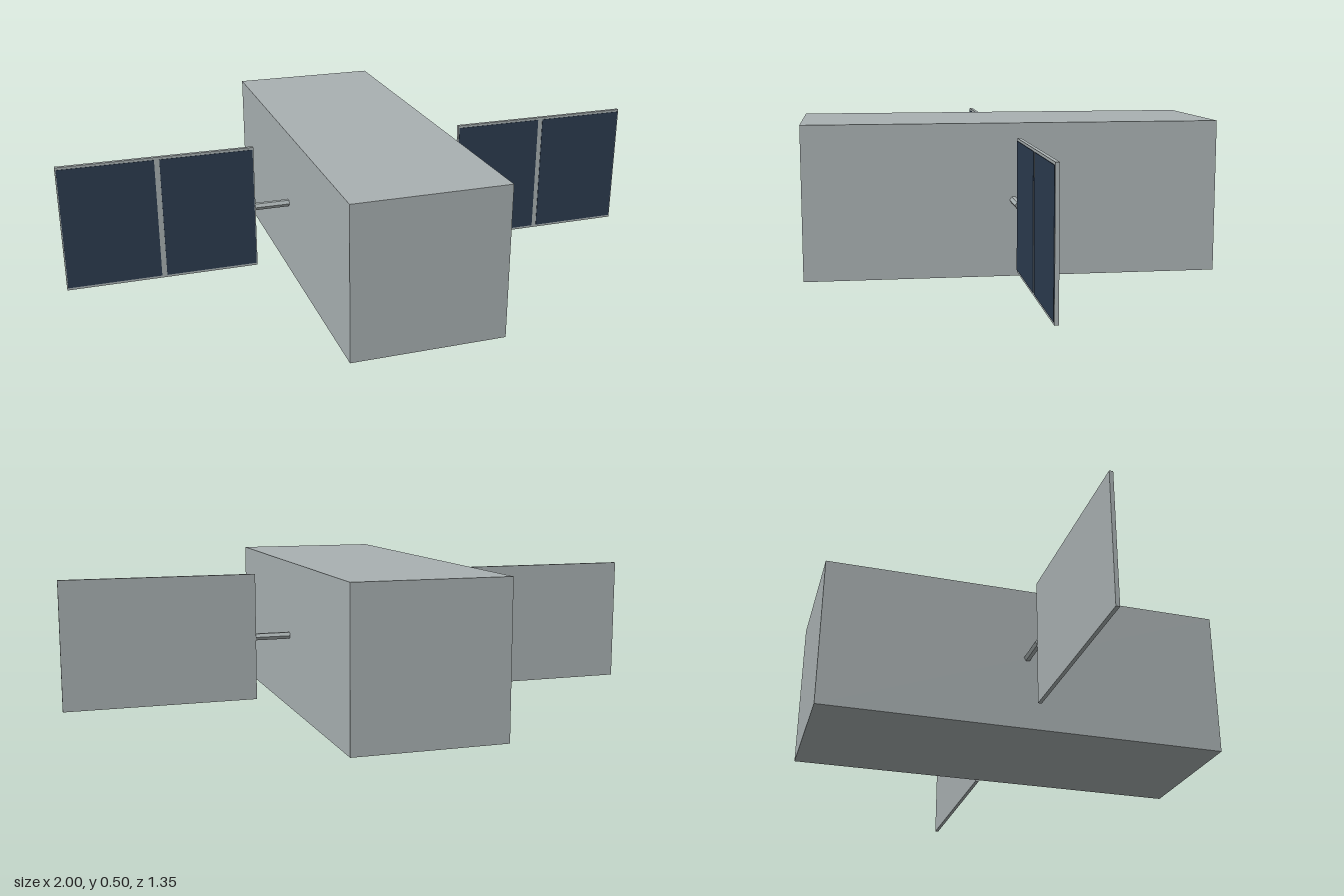
import * as THREE from 'three';

export function createModel() {
  const model = new THREE.Group();
  model.name = 'satellite';

  const hullGrey = new THREE.MeshStandardMaterial({ color: 0xa9b1b2 });
  hullGrey.name = 'hullGrey';
  const cellBlue = new THREE.MeshStandardMaterial({ color: 0x2c3c50 });
  cellBlue.name = 'cellBlue';

  function add(parent, name, geometry, material, x, y, z) {
    const mesh = new THREE.Mesh(geometry, material);
    mesh.name = name;
    mesh.position.set(x, y, z);
    parent.add(mesh);
    return mesh;
  }

  // Long box body
  add(model, 'body', new THREE.BoxGeometry(0.5, 0.5, 1.35), hullGrey, 0, 0.25, 0);

  // Six-sided strut, laid along x with flat faces up and down
  const strutGeometry = new THREE.CylinderGeometry(0.0125, 0.0125, 0.118, 6)
    .toNonIndexed().rotateZ(Math.PI / 2);
  strutGeometry.computeVertexNormals();
  const panelGeometry = new THREE.BoxGeometry(0.634, 0.424, 0.012);
  const cellGeometry = new THREE.BoxGeometry(0.305, 0.408, 0.003);

  // One wing on each side: strut, backing panel and two cell plates on the front
  for (const side of [1, -1]) {
    const wing = new THREE.Group();
    wing.name = side > 0 ? 'leftWing' : 'rightWing';
    model.add(wing);
    add(wing, 'strut', strutGeometry, hullGrey, side * 0.308, 0.25, 0);
    add(wing, 'panel', panelGeometry, hullGrey, side * 0.683, 0.25, 0);
    for (const offset of [-0.161, 0.161]) {
      add(wing, 'solarCell', cellGeometry, cellBlue, side * 0.683 + offset, 0.25, 0.006);
    }
  }

  return model;
}
